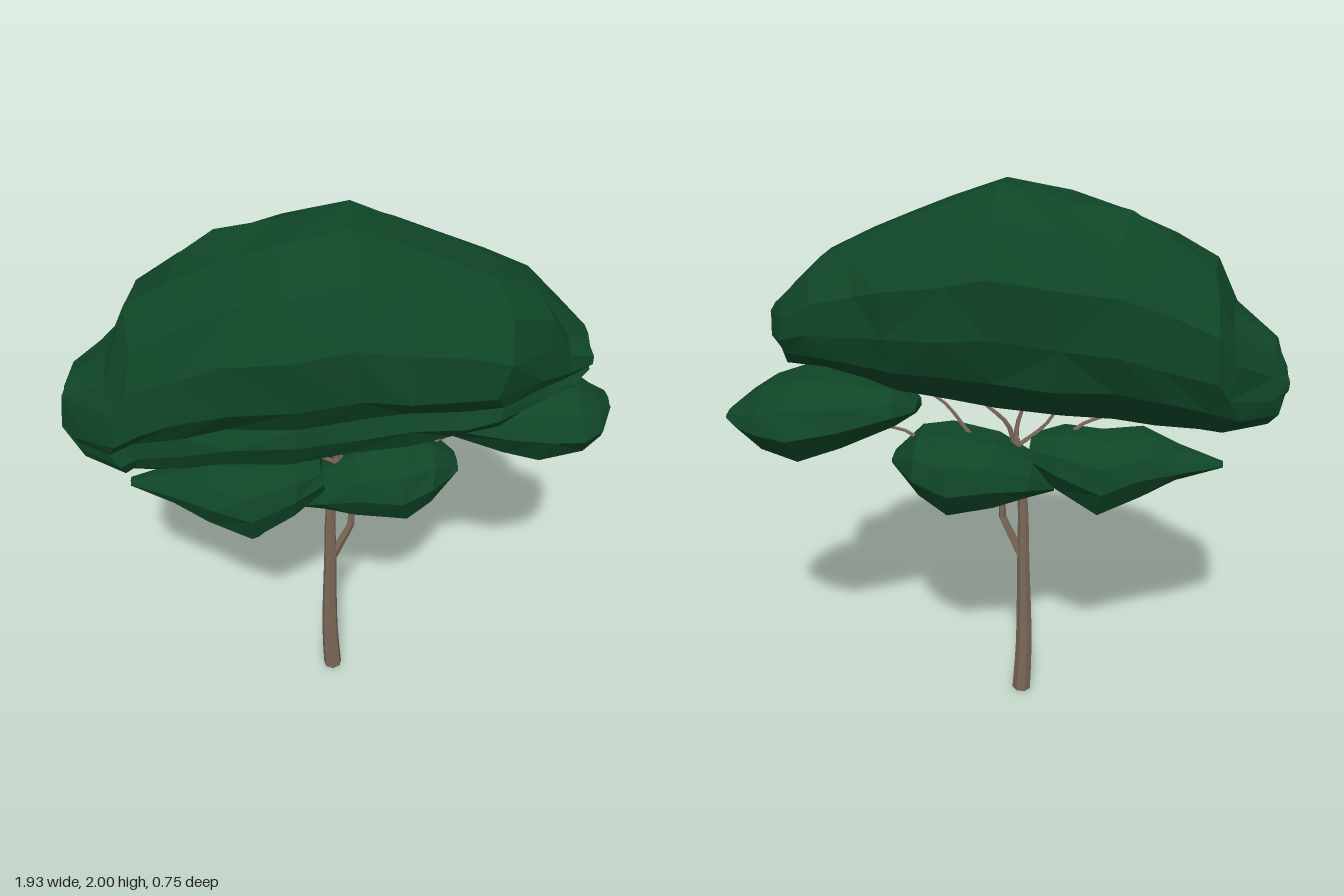
import * as THREE from 'three';

// Outline of a foliage section: [z, y], z from -1 (back) to 1 (front), y from 0 to 1
const CANOPY_OUTLINE = [
  [0.5, 0], [0.78, 0.1], [0.88, 0.2], [0.83, 0.29], [1, 0.42], [0.98, 0.66], [0.76, 0.88], [0.25, 0.99],
  [-0.25, 1], [-0.74, 0.9], [-0.98, 0.7], [-1, 0.44], [-0.86, 0.24], [-0.5, 0.07], [0, 0.03],
];
const CLUMP_OUTLINE = [
  [0.25, 0], [0.75, 0.18], [1, 0.5], [0.8, 0.78], [0.3, 1], [-0.35, 0.97], [-0.85, 0.74], [-1, 0.45], [-0.6, 0.12],
];

// Sections along x: [x, bottom, top, back, front]
const CANOPY = [
  [-0.96, 1.29, 1.4, -0.1, 0.11], [-0.92, 1.18, 1.49, -0.15, 0.17], [-0.78, 1.15, 1.6, -0.26, 0.28],
  [-0.7, 1.15, 1.75, -0.3, 0.3], [-0.55, 1.17, 1.84, -0.35, 0.34], [-0.4, 1.19, 1.92, -0.38, 0.37],
  [-0.2, 1.19, 1.96, -0.4, 0.39], [0, 1.2, 2, -0.39, 0.38], [0.17, 1.23, 1.94, -0.385, 0.37],
  [0.34, 1.26, 1.88, -0.36, 0.36], [0.47, 1.3, 1.82, -0.33, 0.35], [0.62, 1.33, 1.75, -0.28, 0.23],
  [0.73, 1.35, 1.64, -0.21, 0.14], [0.8, 1.43, 1.56, -0.12, 0.1],
];
const RIGHT_CLUMP = [
  [0.3, 1.19, 1.23, -0.12, 0.0], [0.37, 1.14, 1.29, -0.2, 0.08], [0.55, 1.05, 1.32, -0.27, 0.11],
  [0.7, 1.0, 1.34, -0.33, 0.12], [0.82, 1.05, 1.3, -0.31, 0.12], [0.9, 1.1, 1.25, -0.26, 0.05], [0.96, 1.17, 1.2, -0.2, -0.08],
];
const LEFT_CLUMP = [
  [-0.78, 1.0, 1.02, -0.01, 0.04], [-0.62, 0.94, 1.07, -0.07, 0.12], [-0.5, 0.86, 1.12, -0.11, 0.18],
  [-0.35, 0.77, 1.1, -0.13, 0.2], [-0.2, 0.87, 1.12, -0.11, 0.17], [-0.1, 0.95, 1.09, -0.06, 0.1],
];
const MIDDLE_CLUMP = [
  [-0.18, 0.88, 0.92, -0.04, 0.06], [-0.1, 0.86, 1.02, -0.14, 0.11], [0.02, 0.83, 1.1, -0.22, 0.15],
  [0.19, 0.78, 1.13, -0.25, 0.16], [0.3, 0.86, 1.12, -0.21, 0.12], [0.4, 0.98, 1.02, -0.1, 0.02],
];

function seededRandom(seed) {
  return () => {
    seed = (seed * 16807) % 2147483647;
    return seed / 2147483647;
  };
}

// Faceted leaf mass lofted through sections, roughened a little
function foliage(name, sections, outline, material, seed) {
  const random = seededRandom(seed);
  const positions = [], index = [];
  const n = outline.length;
  for (const [x, bottom, top, back, front] of sections) {
    const height = top - bottom, half = (front - back) / 2, mid = (front + back) / 2;
    for (const [z, y] of outline) {
      const inset = 1 - random() * 0.09;
      positions.push(
        x + (random() - 0.5) * 0.05 * Math.min(1, height * 3),
        bottom + height * (0.5 + (y - 0.5) * (1 - random() * 0.06)),
        mid + half * z * inset,
      );
    }
  }
  for (let i = 0; i < sections.length - 1; i++) {
    for (let j = 0; j < n; j++) {
      const k = (j + 1) % n;
      const a = i * n + j, b = i * n + k, c = a + n, d = b + n;
      if (random() < 0.5) index.push(a, c, b, b, c, d);
      else index.push(a, c, d, a, d, b);
    }
  }
  // Close both ends
  [0, sections.length - 1].forEach((s, end) => {
    const [x, bottom, top, back, front] = sections[s];
    const centre = positions.length / 3;
    positions.push(x, (bottom + top) / 2, (back + front) / 2);
    for (let j = 0; j < n; j++) {
      const a = s * n + j, b = s * n + (j + 1) % n;
      index.push(centre, end ? b : a, end ? a : b);
    }
  });
  const indexed = new THREE.BufferGeometry();
  indexed.setAttribute('position', new THREE.Float32BufferAttribute(positions, 3));
  indexed.setIndex(index);
  const geometry = indexed.toNonIndexed();
  geometry.computeVertexNormals();
  const mesh = new THREE.Mesh(geometry, material);
  mesh.name = name;
  return mesh;
}

// Tapered limb: a tube whose rings shrink towards its tip
function limb(name, points, r0, r1, sides, material) {
  const curve = new THREE.CatmullRomCurve3(points.map((p) => new THREE.Vector3(...p)));
  const steps = points.length * 2;
  const geometry = new THREE.TubeGeometry(curve, steps, r0, sides);
  const pos = geometry.attributes.position;
  const v = new THREE.Vector3();
  for (let i = 0; i < pos.count; i++) {
    const t = Math.floor(i / (sides + 1)) / steps;
    const centre = curve.getPointAt(t);
    v.fromBufferAttribute(pos, i).sub(centre).multiplyScalar(1 + (r1 / r0 - 1) * t).add(centre);
    pos.setXYZ(i, v.x, v.y, v.z);
  }
  geometry.computeVertexNormals();
  const mesh = new THREE.Mesh(geometry, material);
  mesh.name = name;
  return mesh;
}

export function createModel() {
  const leaves = new THREE.MeshStandardMaterial({ color: 0x0f4527, flatShading: true });
  leaves.name = 'dark green leaves';
  const bark = new THREE.MeshStandardMaterial({ color: 0x7b6858, flatShading: true });
  bark.name = 'brown bark';

  const tree = new THREE.Group();
  tree.name = 'tree';
  tree.add(
    foliage('mainCanopy', CANOPY, CANOPY_OUTLINE, leaves, 71),
    foliage('rightClump', RIGHT_CLUMP, CLUMP_OUTLINE, leaves, 402),
    foliage('leftClump', LEFT_CLUMP, CLUMP_OUTLINE, leaves, 933),
    foliage('middleClump', MIDDLE_CLUMP, CLUMP_OUTLINE, leaves, 1207),
  );

  // Trunk and its underside
  tree.add(limb('trunk', [[-0.066, 0, 0], [-0.075, 0.2, 0], [-0.07, 0.6, 0], [-0.066, 0.85, 0], [-0.04, 1.08, 0]], 0.036, 0.014, 7, bark));
  const base = new THREE.Mesh(new THREE.CircleGeometry(0.034, 7).rotateX(Math.PI / 2), bark);
  base.name = 'trunkBase';
  base.position.set(-0.066, 0.001, 0);
  tree.add(base);

  // Boughs carrying the lower clumps, then twigs reaching up into the canopy
  const branches = [
    [0.018, [-0.06, 0.6, 0], [-0.02, 0.69, 0], [0.01, 0.76, 0], [0.012, 0.86, -0.01], [0.1, 0.98, -0.03]],
    [0.014, [-0.066, 0.83, 0], [-0.1, 0.95, 0.01], [-0.22, 1.04, 0.03]],
    [0.011, [-0.04, 1.05, 0], [-0.045, 1.13, 0.01], [-0.08, 1.23, 0.02]],
    [0.011, [-0.035, 1.05, 0], [-0.01, 1.14, -0.02], [0.08, 1.23, -0.04]],
    [0.009, [-0.05, 1.05, 0], [-0.15, 1.13, 0.03], [-0.21, 1.24, 0.04]],
    [0.009, [-0.2, 1.06, 0.03], [-0.28, 1.13, 0.04], [-0.37, 1.17, 0.05], [-0.41, 1.24, 0.05]],
    [0.009, [0.08, 1.04, -0.03], [0.15, 1.14, -0.04], [0.21, 1.21, -0.03], [0.32, 1.28, -0.03]],
    [0.009, [0.2, 1.02, -0.04], [0.31, 1.08, -0.05], [0.35, 1.105, -0.05], [0.46, 1.13, -0.06]],
  ];
  branches.forEach(([r, ...points], i) => {
    tree.add(limb(i < 2 ? 'bough' : 'twig', points, r, r * 0.5, 5, bark));
  });
  return tree;
}
